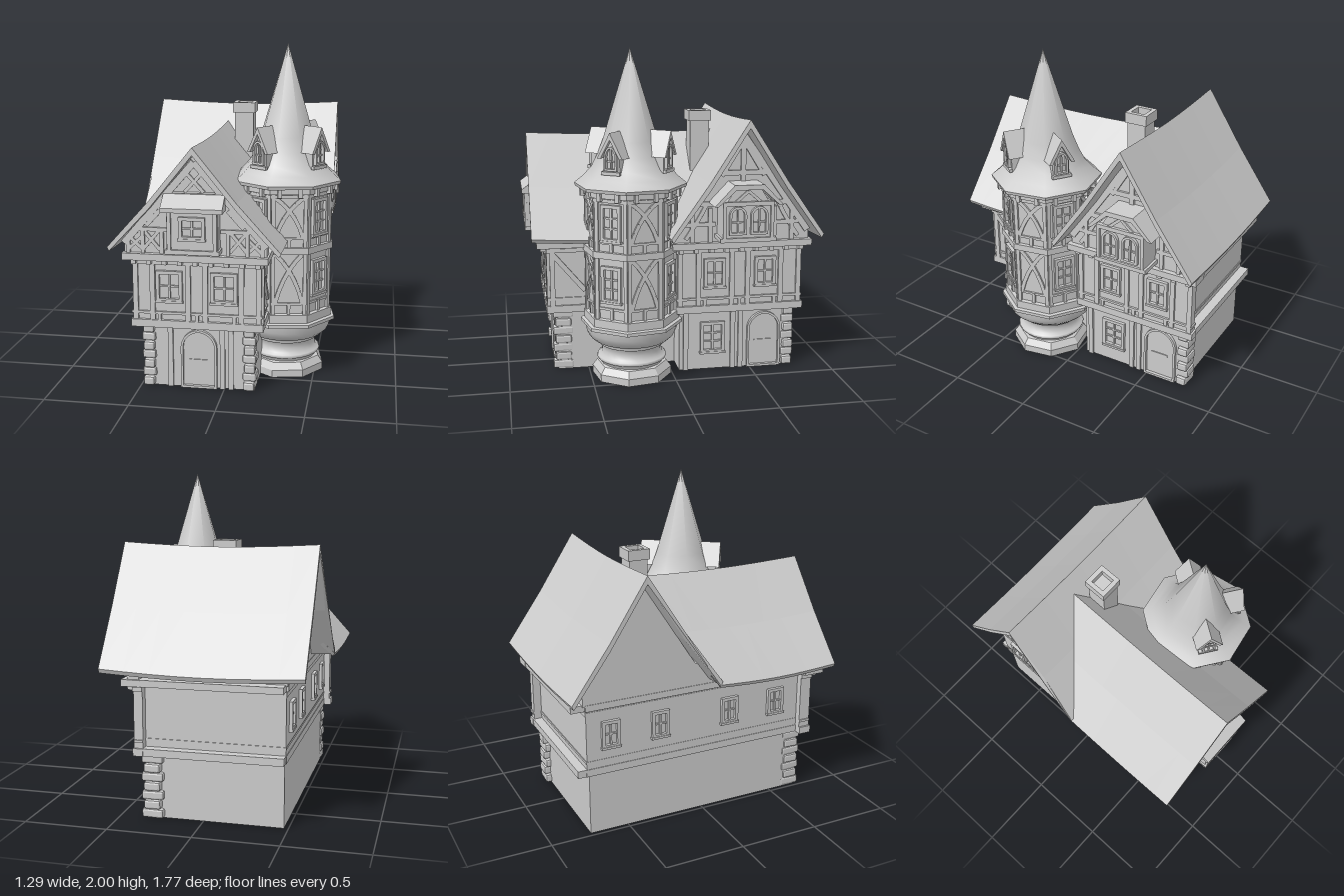
import * as THREE from 'three';
import { RoundedBoxGeometry } from 'three/addons/geometries/RoundedBoxGeometry.js';

const MAT = new THREE.MeshStandardMaterial({ color: 0xcccccc, flatShading: true, side: THREE.DoubleSide });
const SMOOTH = new THREE.MeshStandardMaterial({ color: 0xcccccc, side: THREE.DoubleSide });
const RX = -0.15, RZ = -0.42;          // ridge lines of front wing and back wing
const TX = 0.31, TZ = 0.245;           // turret axis
const HALF = Math.PI / 2;

function add(parent, geo, name, x = 0, y = 0, z = 0) {
  const m = new THREE.Mesh(geo, MAT);
  m.name = name;
  m.position.set(x, y, z);
  parent.add(m);
  return m;
}
// box given by its limits
const block = (p, name, x0, x1, y0, y1, z0, z1) =>
  add(p, new THREE.BoxGeometry(x1 - x0, y1 - y0, z1 - z0), name, (x0 + x1) / 2, (y0 + y1) / 2, (z0 + z1) / 2);
const shapeOf = pts => new THREE.Shape(pts.map(([x, y]) => new THREE.Vector2(x, y)));
const extrude = (shape, depth, steps = 1) =>
  new THREE.ExtrudeGeometry(shape, { depth, steps, bevelEnabled: false, curveSegments: 8 });

// hollow L-shaped wall: left x, right x of back and front wing, back z, inner corner z, front z
function ringWall(p, name, l, rb, rf, zb, zm, zf, y0, y1, t) {
  const outline = i => [[l + i, i - zf], [rf - i, i - zf], [rf - i, i - zm], [rb - i, i - zm], [rb - i, -zb - i], [l + i, -zb - i]];
  const s = shapeOf(outline(0));
  s.holes.push(shapeOf(outline(t).reverse()));
  add(p, extrude(s, y1 - y0), name, 0, y0, 0).rotation.x = -HALF;
}
// a wall plane: local z = 0 on the wall, local +z outwards
function face(parent, name, x, z, ry) {
  const g = new THREE.Group();
  g.name = name;
  g.position.set(x, 0, z);
  g.rotation.y = ry;
  parent.add(g);
  return g;
}
// straight timber between two points on a wall
function beam(f, x1, y1, x2, y2, w = 0.03, d = 0.014) {
  const len = Math.hypot(x2 - x1, y2 - y1);
  const m = add(f, new THREE.BoxGeometry(len, w, d * 2), 'timber', (x1 + x2) / 2, (y1 + y2) / 2, 0);
  m.rotation.z = Math.atan2(y2 - y1, x2 - x1);
}
const posts = (f, xs, y0, y1, w = 0.03) => xs.forEach(x => beam(f, x, y0, x, y1, w));
function cross(f, x0, x1, y0, y1, w = 0.02) {
  beam(f, x0, y0, x1, y1, w, 0.01);
  beam(f, x0, y1, x1, y0, w, 0.012);
}
// bowed timber made of short straight pieces
function bowed(f, x1, y1, x2, y2, bow) {
  const c = new THREE.QuadraticBezierCurve(new THREE.Vector2(x1, y1),
    new THREE.Vector2((x1 + x2) / 2 + bow, (y1 + y2) / 2 + Math.abs(bow)), new THREE.Vector2(x2, y2));
  const p = c.getPoints(5);
  for (let i = 0; i < 5; i++) beam(f, p[i].x, p[i].y, p[i + 1].x, p[i + 1].y, 0.024, 0.011);
}
// framed window with glazing bars and sill; y is the centre
function windowAt(f, x, y, w, h, cols = 2, rows = 2) {
  const s = shapeOf([[-w / 2, -h / 2], [w / 2, -h / 2], [w / 2, h / 2], [-w / 2, h / 2]]);
  const a = w / 2 - 0.02, b = h / 2 - 0.02;
  s.holes.push(shapeOf([[-a, -b], [-a, b], [a, b], [a, -b]]));
  add(f, extrude(s, 0.02), 'windowFrame', x, y, 0);
  for (let i = 1; i < cols; i++) beam(f, x - a + 2 * a * i / cols, y - b, x - a + 2 * a * i / cols, y + b, 0.012, 0.012);
  for (let i = 1; i < rows; i++) beam(f, x - a, y - b + 2 * b * i / rows, x + a, y - b + 2 * b * i / rows, 0.01, 0.01);
  block(f, 'windowSill', x - w / 2 - 0.004, x + w / 2 + 0.004, y - h / 2 - 0.006, y - h / 2 + 0.008, 0, 0.024);
}
function archShape(w, h, point) {
  const s = new THREE.Shape(), r = w / 2, y = h - r * point;
  s.moveTo(-r, 0);
  s.lineTo(r, 0);
  s.lineTo(r, y);
  s.bezierCurveTo(r, y + r * 0.55 * point, r * 0.5, h, 0, h);
  s.bezierCurveTo(-r * 0.5, h, -r, y + r * 0.55 * point, -r, y);
  return s;
}
// arched frame around a door or window; y is the bottom
function archFrame(f, name, x, y, w, h, t, point = 1) {
  const s = archShape(w, h, point);
  const hole = archShape(w - 2 * t, h - 2 * t, point).getPoints(8).map(p => p.add(new THREE.Vector2(0, t)));
  s.holes.push(new THREE.Path(hole));
  add(f, extrude(s, 0.02), name, x, y, 0);
}
function door(f, x) {
  archFrame(f, 'doorFrame', x, 0, 0.215, 0.36, 0.014);
  beam(f, x - 0.06, 0.17, x + 0.05, 0.17, 0.01, 0.006);
}
// roof profile: two slopes with a slight kick at the eaves and thickness t
function roofShape(w, eave, ridge, t) {
  const mid = (eave + ridge) / 2 - 0.015;
  return shapeOf([[-w, eave], [-w + 0.012, eave - t * 0.5], [-w / 2, mid - t], [0, ridge - t], [w / 2, mid - t],
    [w - 0.012, eave - t * 0.5], [w, eave], [w / 2, mid], [0, ridge], [-w / 2, mid]]);
}
function warp(geo, fn) {
  const p = geo.attributes.position, v = new THREE.Vector3();
  for (let i = 0; i < p.count; i++) {
    fn(v.fromBufferAttribute(p, i));
    p.setXYZ(i, v.x, v.y, v.z);
  }
  geo.computeVertexNormals();
  return geo;
}
// stack of alternating corner stones
function quoins(g, x, z, turn) {
  for (let i = 0; i < 7; i++) {
    const o = i % 2, w = o ? 0.082 : 0.066;
    const m = add(g, new RoundedBoxGeometry(w, 0.054, o ? 0.1 : 0.13, 1, 0.012), 'cornerStone', x, 0.03 + i * 0.055, z);
    m.rotation.y = turn + ((i * 37) % 5 - 2) * 0.025;
  }
}

function walls(g) {
  ringWall(g, 'groundFloor', -0.475, 0.34, 0.18, -0.745, -0.05, 0.69, 0, 0.42, 0.02);
  ringWall(g, 'middleFloor', -0.485, 0.38, 0.225, -0.76, -0.03, 0.7, 0.4, 0.84, 0.02);
  block(g, 'frontJetty', -0.525, 0.225, 0.4, 0.82, 0.68, 0.74);
  block(g, 'sideJetty', 0.34, 0.38, 0.4, 0.82, -0.81, -0.03);
  // sill and head bands, wider across the two show fronts and the rear
  for (const [y0, y1, o] of [[0.385, 0.43, 0.012], [0.465, 0.48, 0.008], [0.765, 0.79, 0.01], [0.8, 0.84, 0.045]]) {
    ringWall(g, 'band', -0.485 - o * 0.3, 0.38 + o, 0.225 + o, -0.765, -0.03 + o, 0.72, y0, y1, 0.015 + o);
    if (o > 0.011) block(g, 'bandRear', -0.485, 0.38, y0, y1, -0.805 - o, -0.745);
    block(g, 'bandFront', -0.525 - o, 0.225 + o, y0, y1, 0.68, 0.74 + o * 1.6);
    block(g, 'bandSide', 0.34, 0.38 + o * 1.6, y0, y1, -0.81 - o, -0.03 + o);
  }
  // gabled attics, each with a wider show front
  const attic = (h, e, r) => shapeOf([[-h, 0.83], [h, 0.83], [h, e], [0, r], [-h, e]]);
  add(g, extrude(attic(0.345, 0.98, 1.41), 1.1), 'frontAttic', RX, 0, -0.35);
  add(g, extrude(attic(0.41, 0.91, 1.41), 0.08), 'frontGableWall', RX, 0, 0.7);
  add(g, extrude(attic(0.36, 0.98, 1.53), 0.89), 'backAttic', -0.495, 0, RZ).rotation.y = HALF;
  add(g, extrude(attic(0.42, 0.89, 1.53), 0.07), 'sideGableWall', 0.35, 0, RZ).rotation.y = HALF;
  quoins(g, -0.448, 0.655, 0);
  quoins(g, 0.15, 0.655, 0);
  quoins(g, 0.3, -0.745, HALF);
}

function roofs(g) {
  const back = extrude(roofShape(0.465, 0.9, 1.59, 0.05), 1.185, 8);
  warp(back, v => {
    v.y -= 0.022 * Math.sin(Math.PI * v.z / 1.185);
    if (v.x < -0.4 && v.z < 0.01) v.z -= 0.035;   // eave corner flares out
  });
  add(g, back, 'backRoof', -0.61, 0, RZ).rotation.y = HALF;
  // front roof ends along the valley where it meets the back roof
  const front = extrude(roofShape(0.495, 0.88, 1.46, 0.045), 1, 8);
  warp(front, v => {
    const end = RZ - 0.03 + (1.59 - v.y) / 1.5, t = v.z;
    v.z = end + (0.845 - end) * t;
    v.y -= 0.018 * Math.sin(Math.PI * t);
  });
  add(g, front, 'frontRoof', RX, 0, 0);
  // chimney with a hollow cap
  const square = a => [[-a, -a], [a, -a], [a, a], [-a, a]];
  block(g, 'chimneyShaft', -0.075, 0.045, 1.1, 1.55, -0.295, -0.175);
  const cap = shapeOf(square(0.072));
  cap.holes.push(shapeOf(square(0.045).reverse()));
  add(g, extrude(cap, 0.065), 'chimneyCap', -0.015, 1.6, -0.235).rotation.x = HALF;
}

// timbers, windows and doors
function facades(g) {
  const f0 = face(g, 'frontGround', RX, 0.69, 0), f1 = face(g, 'frontMiddle', RX, 0.74, 0), f2 = face(g, 'frontGable', RX, 0.78, 0);
  const s0 = face(g, 'sideGround', 0.34, RZ, HALF), s1 = face(g, 'sideMiddle', 0.38, RZ, HALF), s2 = face(g, 'sideGable', 0.42, RZ, HALF);
  door(f0, 0);
  posts(f0, [-0.17, 0.14, 0.19], 0, 0.4);
  door(s0, 0.17);
  windowAt(s0, -0.16, 0.21, 0.155, 0.2, 2, 3);
  posts(s0, [-0.33, -0.03, 0.02], 0, 0.4);
  for (const [f, h, w] of [[f1, 0.36, 0.155], [s1, 0.375, 0.135]]) {
    for (const x of [-0.16, 0.16]) windowAt(f, x, 0.635, w, 0.185);
    posts(f, [-h, -0.26, -0.05, 0.05, 0.26, h], 0.42, 0.8);
    for (const x of [-0.22, 0, 0.22]) posts(f, [x], 0.42, 0.48, 0.02);
    for (let i = 0; i < 9; i++) block(f, 'joistEnd', -h + i * h / 4 - 0.014, -h + i * h / 4 + 0.014, 0.772, 0.802, 0, 0.05);
  }
  // gable timbers: front
  for (const s of [-1, 1]) {
    beam(f2, s * 0.41, 0.895, 0, 1.37, 0.04);
    cross(f2, s * 0.3, s * 0.385, 0.86, 0.94);
    cross(f2, s * 0.2, s * 0.3, 0.86, 0.98);
    posts(f2, [s * 0.385], 0.84, 0.92, 0.022);
    posts(f2, [s * 0.3, s * 0.19], 0.84, 0.99, 0.022);
    beam(f2, s * 0.33, 0.98, s * 0.15, 0.98, 0.022);
    bowed(f2, s * 0.28, 1.0, s * 0.19, 1.1, s * -0.02);
  }
  beam(f2, -0.17, 1.18, 0.17, 1.18);
  cross(f2, -0.055, 0.055, 1.2, 1.32);
  // gable timbers: side
  for (const s of [-1, 1]) {
    beam(s2, s * 0.41, 0.895, 0, 1.485, 0.04);
    beam(s2, s * 0.13, 1.24, 0, 1.45, 0.02);
    posts(s2, [s * 0.31, s * 0.2], 0.84, 1.05, 0.025);
    beam(s2, s * 0.35, 0.95, s * 0.17, 0.95, 0.025);
    bowed(s2, s * 0.35, 0.86, s * 0.22, 1.08, s * -0.03);
  }
  beam(s2, -0.28, 1.075, 0.28, 1.075);
  beam(s2, -0.16, 1.26, 0.16, 1.26);
  posts(s2, [0], 1.2, 1.48);
  // front bay with a lean-to roof
  block(f2, 'frontBay', -0.145, 0.145, 0.88, 1.12, 0, 0.075);
  block(f2, 'frontBaySill', -0.155, 0.155, 0.86, 0.885, 0, 0.09);
  const lean = add(f2, extrude(shapeOf([[0, 1.1], [0.105, 1.1], [0.105, 1.125], [0, 1.2]]), 0.35), 'frontBayRoof', 0.175, 0, 0);
  lean.rotation.y = -HALF;
  const fb = face(f2, 'frontBayFace', 0, 0.075, 0);
  windowAt(fb, 0, 1.01, 0.15, 0.13);
  posts(fb, [-0.13, 0.13], 0.88, 1.11, 0.022);
  // side bay with a clipped roof
  block(s2, 'sideBay', -0.155, 0.155, 0.88, 1.1, 0, 0.135);
  block(s2, 'sideBaySill', -0.17, 0.17, 0.865, 0.89, 0, 0.15);
  add(s2, extrude(shapeOf([[-0.13, 1.1], [0.13, 1.1], [0.08, 1.18], [-0.08, 1.18]]), 0.13), 'sideBayGable');
  const hood = shapeOf([[-0.21, 1.085], [-0.185, 1.085], [-0.08, 1.18], [0.08, 1.18], [0.185, 1.085], [0.21, 1.085], [0.09, 1.21], [-0.09, 1.21]]);
  add(s2, extrude(hood, 0.162), 'sideBayRoof');
  const sb = face(s2, 'sideBayFace', 0, 0.135, 0);
  for (const x of [-0.065, 0.065]) {
    archFrame(sb, 'archedWindow', x, 0.91, 0.105, 0.17, 0.014);
    posts(sb, [x], 0.92, 1.07, 0.009);
    beam(sb, x - 0.045, 0.985, x + 0.045, 0.985, 0.009, 0.01);
  }
  posts(sb, [-0.145, 0.145], 0.88, 1.1, 0.02);
  beam(sb, -0.155, 1.095, 0.155, 1.095, 0.025);
  for (const s of [-1, 1]) beam(sb, s * 0.08, 1.1, 0, 1.17, 0.018, 0.005);
  // plain outer side with a row of windows, and the short wall beside the turret
  const outer = face(g, 'outerSide', -0.485, 0, -HALF);
  for (const z of [-0.61, -0.29, 0.18, 0.51]) windowAt(outer, z, 0.635, 0.115, 0.17);
  const inner = face(g, 'innerSide', 0.225, 0.74, HALF);
  posts(inner, [0.02, 0.25], 0.42, 0.8);
  beam(inner, 0.02, 0.76, 0.22, 0.52);
}

function turret(g) {
  const t = face(g, 'turret', TX, TZ, 0);
  const lathe = (name, pts, sides = 8) =>
    add(t, new THREE.LatheGeometry(pts.map(([r, y]) => new THREE.Vector2(r, y)), sides, 0.564), name);
  // eight-sided foot, round neck and bowl, eight-sided storeys
  lathe('turretFoot', [[0.245, 0], [0.245, 0.045], [0.215, 0.085], [0.19, 0.09]]);
  lathe('turretNeck', [[0.19, 0.088], [0.195, 0.105], [0.21, 0.112], [0.214, 0.122], [0.21, 0.132], [0.19, 0.142], [0.183, 0.17],
    [0.184, 0.2], [0.2, 0.207], [0.205, 0.217], [0.202, 0.226], [0.235, 0.237], [0.262, 0.262], [0.278, 0.295], [0.284, 0.335]], 24).material = SMOOTH;
  lathe('turretCorbel', [[0.26, 0.332], [0.313, 0.335], [0.313, 0.355], [0.292, 0.36], [0.292, 0.41], [0.268, 0.415]]);
  lathe('turretWall', [[0.269, 0.4], [0.269, 1.16]]);
  for (const [r, y0, y1] of [[0.278, 0.47, 0.485], [0.295, 0.785, 0.825], [0.278, 0.87, 0.885], [0.29, 1.12, 1.14], [0.304, 1.145, 1.18]])
    lathe('turretBand', [[0.25, y0], [r, y0], [r, y1], [0.25, y1]]);
  lathe('turretEave', [[0.25, 1.17], [0.335, 1.18], [0.34, 1.2]]);
  lathe('turretRoof', [[0.34, 1.2], [0.285, 1.245], [0.235, 1.3], [0.2, 1.37], [0.165, 1.46], [0, 2]]).material = SMOOTH;
  for (let k = 0; k < 8; k++) {
    const a = (-55 + 45 * k) * Math.PI / 180, ry = HALF - a;
    const f = face(t, 'turretFace', 0.249 * Math.cos(a), 0.249 * Math.sin(a), ry);
    posts(f, [-0.094, 0.094], 0.41, 1.15, 0.022);
    for (const y of [0.485, 0.885]) {
      const top = y < 0.6 ? 0.785 : 1.12;
      if (k % 2 === 0) {
        windowAt(f, 0, (y + top) / 2 - 0.005, 0.13, 0.22, 2, 3);
      } else {
        bowed(f, -0.08, y, 0.08, top, -0.035);
        bowed(f, 0.08, y, -0.08, top, 0.035);
      }
      posts(f, [0], y - 0.07, y, 0.02);
    }
    for (const x of [-0.06, 0.06]) block(f, 'eaveBracket', x - 0.012, x + 0.012, 1.13, 1.18, 0, 0.05);
    // dormers on three of the sides
    if (k === 0 || k === 2 || k === 4) {
      const d = face(t, 'dormer', 0.1 * Math.cos(a), 0.1 * Math.sin(a), ry);
      add(d, extrude(shapeOf([[-0.052, 1.28], [0.052, 1.28], [0.052, 1.4], [0, 1.485], [-0.052, 1.4]]), 0.14), 'dormerBody');
      add(d, extrude(shapeOf([[-0.082, 1.375], [-0.06, 1.375], [0, 1.485], [0.06, 1.375], [0.082, 1.375], [0, 1.525]]), 0.165), 'dormerRoof');
      const w = face(d, 'dormerFace', 0, 0.14, 0);
      archFrame(w, 'dormerWindow', 0, 1.305, 0.08, 0.14, 0.012, 1.6);
      posts(w, [0], 1.31, 1.43, 0.009);
      beam(w, -0.03, 1.36, 0.03, 1.36, 0.009, 0.01);
      block(w, 'dormerSill', -0.06, 0.06, 1.28, 1.3, 0, 0.02);
    }
  }
}

export function createModel() {
  const g = new THREE.Group();
  g.name = 'timberHouse';
  walls(g);
  roofs(g);
  facades(g);
  turret(g);
  return g;
}
